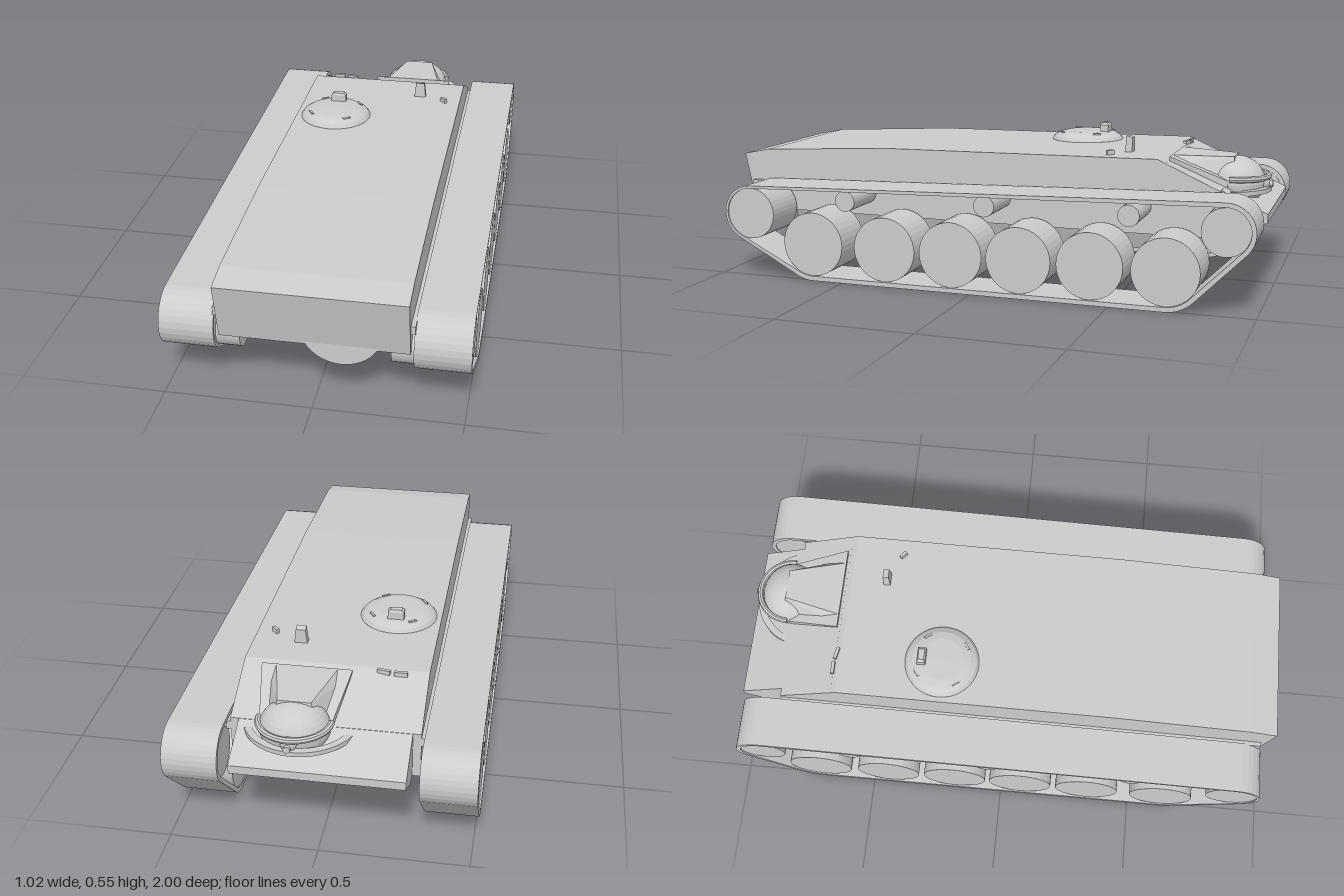
import * as THREE from 'three';
import { ConvexGeometry } from 'three/addons/geometries/ConvexGeometry.js';

const mat = new THREE.MeshStandardMaterial({ color: 0xcccccc, flatShading: true, side: THREE.DoubleSide });

function add(parent, name, geo, x = 0, y = 0, z = 0) {
  const m = new THREE.Mesh(geo, mat);
  m.name = name;
  m.position.set(x, y, z);
  parent.add(m);
  return m;
}

// Side profile of [z, y] points, extruded from x0 to x1, with an optional hole
function prism(profile, x0, x1, hole) {
  const vec = (list) => list.map(([z, y]) => new THREE.Vector2(z, y));
  const shape = new THREE.Shape(vec(profile));
  if (hole) shape.holes.push(new THREE.Path(vec(hole)));
  const g = new THREE.ExtrudeGeometry(shape, { depth: x1 - x0, bevelEnabled: false });
  return g.rotateY(-Math.PI / 2).translate(x1, 0, 0);
}

// Belt line stretched around circles [z, y, r], listed counter-clockwise
function belt(circles) {
  const n = circles.length;
  const normals = circles.map(([z, y, r], i) => {
    const [z2, y2, r2] = circles[(i + 1) % n];
    return Math.atan2(y2 - y, z2 - z) - Math.acos((r - r2) / Math.hypot(z2 - z, y2 - y));
  });
  const pts = [];
  circles.forEach(([z, y, r], i) => {
    const a = normals[(i + n - 1) % n];
    let b = normals[i];
    while (b < a) b += 2 * Math.PI;
    while (b - a > 2 * Math.PI) b -= 2 * Math.PI;
    for (let k = 0; k <= 12; k++) {
      const t = a + ((b - a) * k) / 12;
      pts.push([z + r * Math.cos(t), y + r * Math.sin(t)]);
    }
  });
  return pts;
}

// Cylinder lying along x, from x0 to x1
function wheel(r, x0, x1, segments = 36) {
  return new THREE.CylinderGeometry(r, r, x1 - x0, segments).rotateZ(Math.PI / 2).translate((x0 + x1) / 2, 0, 0);
}

// Convex solid from points, mirrored about its own x = 0
function mirroredHull(points) {
  return new ConvexGeometry(points.flatMap(([x, y, z]) => [new THREE.Vector3(x, y, z), new THREE.Vector3(-x, y, z)]));
}

function runningGear(side) {
  const g = new THREE.Group();
  g.name = side > 0 ? 'leftRunningGear' : 'rightRunningGear';
  const span = (a, b) => (side > 0 ? [a, b] : [-b, -a]);
  const track = (rIdler, rRoad, rDrive) => belt([
    [-0.893, 0.285, rIdler], [-0.695, 0.136, rRoad], [0.615, 0.136, rRoad], [0.87, 0.237, rDrive],
  ]);
  add(g, 'track', prism(track(0.1, 0.136, 0.104), ...span(0.327, 0.512), track(0.084, 0.119, 0.094)));
  add(g, 'endWheelLarge', wheel(0.095, ...span(0.33, 0.507)), 0, 0.237, 0.87);
  add(g, 'endWheelSmall', wheel(0.083, ...span(0.33, 0.507)), 0, 0.285, -0.893);
  for (const z of [0.615, 0.33, 0.075, -0.177, -0.433, -0.695]) {
    add(g, 'roadWheel', wheel(0.118, ...span(0.33, 0.507)), 0, 0.136, z);
    add(g, 'suspensionArm', wheel(0.018, ...span(0.21, 0.34), 8), 0, 0.158, z);
  }
  for (const [z, y] of [[0.485, 0.303], [-0.05, 0.318], [-0.565, 0.318]])
    add(g, 'returnRoller', wheel(0.038, ...span(0.3, 0.5), 24), 0, y, z);
  add(g, 'finalDrive', wheel(0.07, ...span(0.25, 0.34)), 0, 0.21, 0.87);
  // Narrow ledge closing the gap between hull and track
  add(g, 'hullLedge', prism([[0.96, 0.3], [0.96, 0.33], [-0.84, 0.37], [-0.84, 0.34]], ...span(0.31, 0.33)));
  return g;
}

function hull() {
  const g = new THREE.Group();
  g.name = 'hull';
  add(g, 'upperHull', prism([
    [1, 0.43], [0.9, 0.45], [0.4, 0.476], [-0.62, 0.485], [-0.84, 0.385], [-0.84, 0.22], [0.955, 0.22],
  ], -0.315, 0.315));
  add(g, 'nose', prism([
    [-0.6, 0.47], [-0.64, 0.476], [-1, 0.31], [-1, 0.28], [-0.885, 0.22], [-0.6, 0.22],
  ], -0.287, 0.287));
  add(g, 'lowerHull', mirroredHull([
    [0.287, 0.222, 0.955], [0.287, 0.222, -0.885], [0.26, 0.155, 0.83], [0.26, 0.155, -0.76],
  ]));
  // Rounded bulge under the sloping end plate
  add(g, 'endBulge', new THREE.CylinderGeometry(0.137, 0.137, 0.15, 40).rotateX(Math.PI / 2), 0.09, 0.292, 0.882);
  return g;
}

function cupola() {
  const g = new THREE.Group();
  g.name = 'cupola';
  g.position.set(-0.16, 0, -0.245);
  const profile = [[0.137, 0.47], [0.137, 0.483], [0.128, 0.496], [0.108, 0.508], [0.08, 0.514], [0, 0.515]];
  add(g, 'cupolaDome', new THREE.LatheGeometry(profile.map(([x, y]) => new THREE.Vector2(x, y)), 40));
  add(g, 'cupolaPeriscope', mirroredHull([
    [0.029, 0.51, 0.013], [0.029, 0.51, -0.018], [0.029, 0.54, 0.013], [0.029, 0.538, -0.018], [0.02, 0.547, 0.008], [0.02, 0.547, -0.013],
  ]), 0, 0, -0.07);
  for (let i = 0; i < 4; i++) {
    const a = 0.6 + (i * Math.PI) / 2;
    add(g, 'cupolaClip', new THREE.BoxGeometry(0.03, 0.008, 0.008), 0.105 * Math.sin(a), 0.509, 0.105 * Math.cos(a)).rotation.y = a;
  }
  return g;
}

function driverHood() {
  const g = new THREE.Group();
  g.name = 'driverHood';
  g.position.x = 0.095;
  add(g, 'hoodBase', mirroredHull([
    [0.155, 0.487, -0.65], [0.15, 0.46, -0.65], [0.11, 0.455, -0.73], [0.12, 0.405, -0.85], [0.12, 0.38, -0.85],
  ]));
  add(g, 'hoodRoof', mirroredHull([
    [0.105, 0.486, -0.65], [0.055, 0.482, -0.86], [0.13, 0.45, -0.66], [0.095, 0.37, -0.88],
  ]));
  add(g, 'hoodDome', new THREE.SphereGeometry(1, 28, 18).scale(0.118, 0.092, 0.105), 0, 0.388, -0.86);
  add(g, 'hoodBrow', new THREE.TorusGeometry(0.12, 0.011, 8, 24, Math.PI).rotateX(-Math.PI / 2), 0, 0.41, -0.855);
  add(g, 'ballMount', new THREE.SphereGeometry(0.028, 16, 12), 0, 0.388, -0.955);
  add(g, 'mountTip', new THREE.CylinderGeometry(0.012, 0.012, 0.04, 12).rotateX(Math.PI / 2), 0, 0.385, -0.972);
  // Curved guard around the foot of the dome
  const guard = new THREE.Shape();
  guard.absarc(0, 0, 0.193, 0.42, Math.PI - 0.25, false);
  guard.absarc(0, 0, 0.168, Math.PI - 0.25, 0.42, true);
  const geo = new THREE.ExtrudeGeometry(guard, { depth: 0.016, bevelEnabled: false, curveSegments: 24 });
  add(g, 'curvedGuard', geo.rotateX(-Math.PI / 2), -0.01, 0.358, -0.793);
  return g;
}

export function createModel() {
  const model = new THREE.Group();
  model.name = 'trackedVehicle';
  model.add(hull(), runningGear(1), runningGear(-1), cupola(), driverHood());

  // Roof fittings
  add(model, 'roofPeriscope', mirroredHull([
    [0.024, 0.475, 0.013], [0.024, 0.475, -0.013], [0.017, 0.542, 0.009], [0.017, 0.535, -0.013],
  ]), 0.148, 0, -0.485);
  add(model, 'roofLatch', new THREE.BoxGeometry(0.028, 0.025, 0.012), 0.25, 0.488, -0.437).rotation.y = -0.75;
  add(model, 'hatchHinge', new THREE.BoxGeometry(0.045, 0.016, 0.012), -0.22, 0.482, -0.642);
  add(model, 'hatchHinge', new THREE.BoxGeometry(0.045, 0.016, 0.012), -0.162, 0.482, -0.636).rotation.y = -0.2;
  return model;
}
